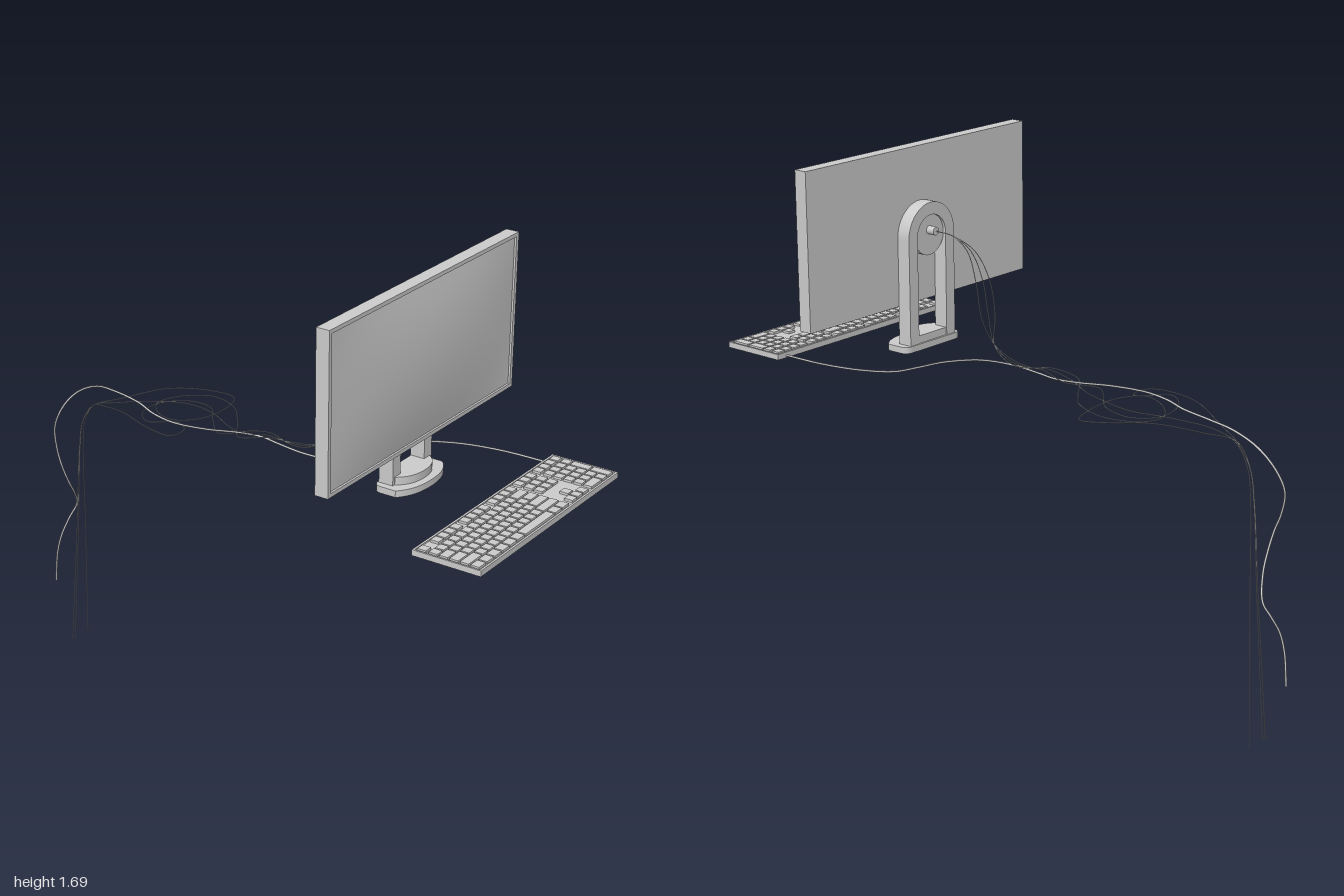
import * as THREE from 'three';
import { mergeGeometries } from 'three/addons/utils/BufferGeometryUtils.js';

const grey = new THREE.MeshStandardMaterial({ color: 0xcccccc });

function add(parent, name, geometry) {
  const mesh = new THREE.Mesh(geometry, grey);
  mesh.name = name;
  parent.add(mesh);
  return mesh;
}

// box given by its minimum and maximum corners
function box(x0, x1, y0, y1, z0, z1) {
  return new THREE.BoxGeometry(x1 - x0, y1 - y0, z1 - z0)
    .translate((x0 + x1) / 2, (y0 + y1) / 2, (z0 + z1) / 2);
}

// outline in (-z, y), extruded along x from x0 to x1
function extrudeX(shape, x0, x1) {
  return new THREE.ExtrudeGeometry(shape, { depth: x1 - x0, bevelEnabled: false, curveSegments: 24 })
    .rotateY(Math.PI / 2).translate(x0, 0, 0);
}

// outline in (x, -z), extruded upwards from y0 to y1
function extrudeY(shape, y0, y1) {
  return new THREE.ExtrudeGeometry(shape, { depth: y1 - y0, bevelEnabled: false, curveSegments: 16 })
    .rotateX(-Math.PI / 2).translate(0, y0, 0);
}

function rect(path, w, y0, y1) {
  path.moveTo(-w, y0);
  path.lineTo(w, y0);
  path.lineTo(w, y1);
  path.lineTo(-w, y1);
  path.closePath();
  return path;
}

function cable(parent, name, points, radius) {
  const curve = new THREE.CatmullRomCurve3(points.map((p) => new THREE.Vector3(...p)));
  add(parent, name, new THREE.TubeGeometry(curve, points.length * 10, radius, 8));
}

function buildMonitor() {
  const g = new THREE.Group();
  g.name = 'monitor';
  add(g, 'screenHousing', box(0.502, 0.536, 1.17, 1.692, -0.522, 0.526));

  // raised bezel
  const frame = rect(new THREE.Shape(), 0.524, 1.17, 1.692);
  frame.holes.push(rect(new THREE.Path(), 0.51, 1.183, 1.679));
  add(g, 'bezel', extrudeX(frame, 0.536, 0.548).translate(0, 0, 0.002));

  // gently domed display
  const panel = new THREE.PlaneGeometry(1.02, 0.496, 24, 12);
  const p = panel.attributes.position;
  for (let i = 0; i < p.count; i++) {
    const u = p.getX(i) / 0.51, v = p.getY(i) / 0.248;
    p.setZ(i, 0.023 * (1 - u * u) * (1 - v * v));
  }
  panel.computeVertexNormals();
  add(g, 'display', panel.rotateY(Math.PI / 2).translate(0.541, 1.431, 0.002));
  return g;
}

function buildStand() {
  const g = new THREE.Group();
  g.name = 'stand';

  // upside-down U with round top
  const R = 0.11, r = 0.068, c = 1.4, foot = 1.04;
  const arch = new THREE.Shape();
  arch.moveTo(R, foot);
  arch.lineTo(R, c);
  arch.absarc(0, c, R, 0, Math.PI, false);
  arch.lineTo(-R, foot);
  arch.lineTo(-r, foot);
  arch.lineTo(-r, c);
  arch.absarc(0, c, r, Math.PI, 0, true);
  arch.lineTo(r, foot);
  add(g, 'archedLegs', extrudeX(arch, 0.453, 0.504));

  const disc = (radius, x0, x1, y) => new THREE.CylinderGeometry(radius, radius, x1 - x0, 32)
    .rotateZ(Math.PI / 2).translate((x0 + x1) / 2, y, 0);
  add(g, 'mountDisc', disc(0.07, 0.463, 0.504, c));
  add(g, 'cableSocket', disc(0.014, 0.433, 0.47, 1.415));

  // base plate with curved front edge, and a smaller step on top
  const outline = (back, front, w) => {
    const s = new THREE.Shape();
    s.moveTo(back, -w + 0.03);
    s.quadraticCurveTo(back, -w, back + 0.03, -w);
    s.lineTo(front - 0.045, -w);
    s.bezierCurveTo(front - 0.01, -w * 0.75, front, -w * 0.4, front, 0);
    s.bezierCurveTo(front, w * 0.4, front - 0.01, w * 0.75, front - 0.045, w);
    s.lineTo(back + 0.03, w);
    s.quadraticCurveTo(back, w, back, w - 0.03);
    s.closePath();
    return s;
  };
  add(g, 'basePlate', extrudeY(outline(0.449, 0.575, 0.135), 1.02, 1.042));
  add(g, 'baseStep', extrudeY(outline(0.456, 0.55, 0.1), 1.042, 1.068));
  return g;
}

function buildKeyboard() {
  const g = new THREE.Group();
  g.name = 'keyboard';
  add(g, 'keyboardBody', box(0.766, 1, 1.006, 1.02, -0.415, 0.411));

  // raised rim
  const rim = [
    box(0.766, 0.773, 1.02, 1.025, -0.415, 0.411), box(0.993, 1, 1.02, 1.025, -0.415, 0.411),
    box(0.773, 0.993, 1.02, 1.025, -0.415, -0.409), box(0.773, 0.993, 1.02, 1.025, 0.405, 0.411),
  ];
  add(g, 'keyboardRim', mergeGeometries(rim));

  // keys run from +z to -z; negative widths are gaps
  const u = 0.0353, pitch = 0.0352, keys = [];
  const row = (x, z, widths, depth = pitch) => {
    for (const w of widths) {
      if (w > 0) keys.push(box(x + 0.003, x + depth - 0.003, 1.02, 1.028, z - w * u + 0.003, z - 0.003));
      z -= Math.abs(w) * u;
    }
  };
  const ones = (n) => Array(n).fill(1);
  const rowX = (i) => (i === 0 ? 0.775 : 0.814 + (i - 1) * pitch);
  const main = [
    [1, -1, ...ones(4), -0.5, ...ones(4), -0.5, ...ones(4)],
    [...ones(13), 2],
    [1.5, ...ones(12), 1.5],
    [1.75, ...ones(11), 2.25],
    [2.25, ...ones(10), 2.75],
    [1.25, 1.25, 1.25, 1.25, 1.25, 1.25, 5, 1.25, 1.25],
  ];
  main.forEach((widths, i) => row(rowX(i), 0.403, widths));
  const arrows = [ones(3), ones(3), ones(3), [], [-1, 1], ones(3)];
  arrows.forEach((widths, i) => row(rowX(i), -0.143, widths));
  const numbers = [ones(4), ones(4), ones(3), ones(3), ones(3), [2, 1]];
  numbers.forEach((widths, i) => row(rowX(i), -0.264, widths));
  for (const i of [2, 4]) row(rowX(i), -0.264 - 3 * u, [1], 2 * pitch);
  add(g, 'keys', mergeGeometries(keys));
  return g;
}

function buildCables() {
  const g = new THREE.Group();
  g.name = 'cables';
  cable(g, 'keyboardCable', [
    [0.768, 1.013, -0.375], [0.6, 1.013, -0.368], [0.46, 1.013, -0.335], [0.37, 1.013, -0.28],
    [0.342, 1.013, -0.2], [0.315, 1.013, -0.1], [0.25, 1.013, -0.015], [0.19, 1.013, 0.01],
    [0.1, 1.013, 0.017], [0, 1.013, 0.003], [-0.08, 1.013, -0.01], [-0.16, 1.013, 0.005],
    [-0.26, 1.013, 0.045], [-0.38, 1.013, 0.065], [-0.48, 1.013, 0.045], [-0.58, 1.013, 0],
    [-0.7, 1.012, -0.03], [-0.8, 1.003, -0.045], [-0.88, 0.965, -0.037], [-0.935, 0.9, -0.018],
    [-0.955, 0.83, 0.003], [-0.935, 0.75, 0.018], [-0.91, 0.69, 0.022], [-0.904, 0.63, 0],
    [-0.915, 0.57, -0.04], [-0.947, 0.5, -0.085], [-0.967, 0.45, -0.066], [-0.978, 0.39, -0.032],
    [-0.988, 0.32, -0.017], [-0.997, 0.21, -0.015],
  ], 0.0035);

  // three thin cables: each has its own coil on the desk, its own sway and its own lower end
  const coils = [
    [[-0.22, -0.07], [-0.3, -0.16], [-0.42, -0.2], [-0.52, -0.15], [-0.55, -0.07], [-0.49, 0.01], [-0.4, 0.04],
      [-0.34, -0.03], [-0.335, -0.17], [-0.37, -0.25], [-0.46, -0.235], [-0.58, -0.16], [-0.7, -0.06]],
    [[-0.22, 0.03], [-0.29, -0.03], [-0.37, -0.12], [-0.47, -0.135], [-0.54, -0.07], [-0.53, 0.04], [-0.46, 0.1],
      [-0.38, 0.04], [-0.34, 0.06], [-0.345, 0.13], [-0.43, 0.135], [-0.57, 0.09], [-0.7, 0.03]],
    [[-0.22, -0.03], [-0.33, -0.08], [-0.45, -0.1], [-0.57, -0.06], [-0.7, -0.01]],
  ];
  const sway = [0.04, -0.025, 0.008];
  const ends = [0, -0.015, -0.085];
  coils.forEach((coil, i) => {
    const s = sway[i], e = ends[i];
    cable(g, 'displayCable' + (i + 1), [
      [0.44, 1.415, 0], [0.36, 1.41, 0], [0.285, 1.37, s * 0.5], [0.24, 1.28, s], [0.215, 1.16, s],
      [0.185, 1.075, 0], [0.12, 1.035, -s * 0.4], [0.05, 1.025, -s * 0.3], [-0.04, 1.033, s * 0.6],
      [-0.13, 1.015, s],
      ...coil.map(([x, z], k) => [x, x < -0.6 ? 0.978 : 1.003 + 0.006 * Math.sin(k * 1.3), z]),
      [-0.78, 0.952, e * 0.1], [-0.83, 0.88, e * 0.15], [-0.85, 0.77, e * 0.25],
      [-0.872, 0.5, e * 0.5], [-0.895, 0.25, e * 0.75], [-0.918, 0.001, e],
    ], 0.0014);
  });
  return g;
}

export function createModel() {
  const model = new THREE.Group();
  model.name = 'workstation';
  model.add(buildMonitor(), buildStand(), buildKeyboard(), buildCables());
  return model;
}
